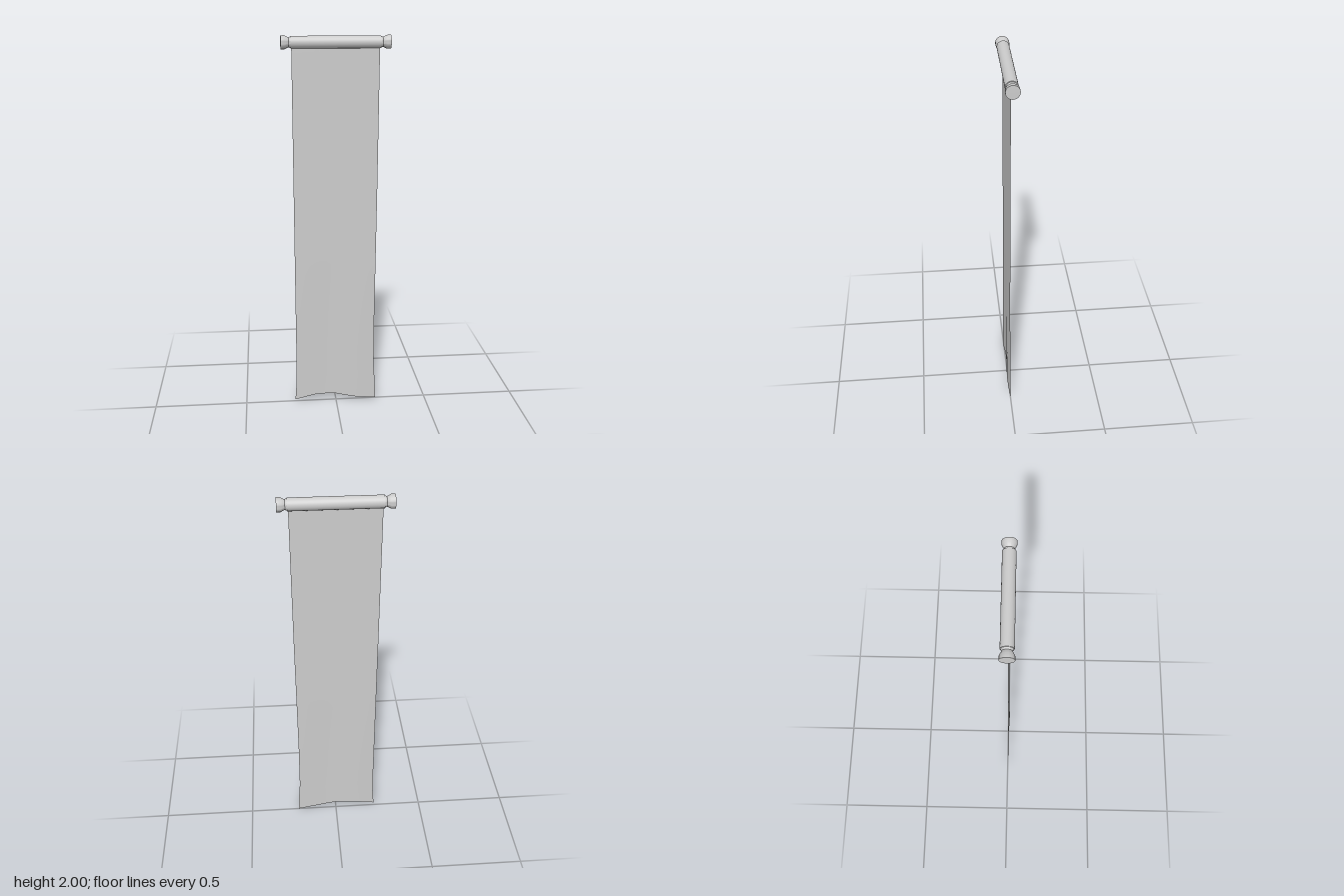
import * as THREE from 'three';
import { toCreasedNormals } from 'three/addons/utils/BufferGeometryUtils.js';

const ROD_Y = 1.966;
const material = new THREE.MeshStandardMaterial({ color: 0xcccccc });
const clothMaterial = new THREE.MeshStandardMaterial({ color: 0xcccccc, side: THREE.DoubleSide });

// Piecewise-linear lookup in a list of [t, value] pairs
function sample(points, t) {
  for (let i = 1; i < points.length; i++) {
    const [t0, v0] = points[i - 1], [t1, v1] = points[i];
    if (t <= t1) return THREE.MathUtils.lerp(v0, v1, Math.max(0, (t - t0) / (t1 - t0)));
  }
  return points[points.length - 1][1];
}

// Hanging cloth: wavy lower hem, slightly pinched sides that flare at the bottom
function createCloth() {
  const hem = [[-1, 0.012], [-0.5, 0.035], [-0.2, 0.039], [0, 0.038], [0.25, 0.026], [0.5, 0.014], [1, 0]];
  const leftEdge = [[0, 0.224], [0.06, 0.218], [0.1, 0.212], [0.25, 0.211], [0.6, 0.217], [1, 0.221]];
  const rightEdge = [[0, -0.228], [0.05, -0.221], [0.1, -0.219], [1, -0.222]];
  const geometry = new THREE.PlaneGeometry(2, 1, 16, 40);
  const pos = geometry.attributes.position;
  for (let i = 0; i < pos.count; i++) {
    const u = pos.getX(i), v = pos.getY(i) + 0.5;
    const x = THREE.MathUtils.lerp(sample(rightEdge, v), sample(leftEdge, v), (u + 1) / 2);
    const y = THREE.MathUtils.lerp(sample(hem, u), ROD_Y, v);
    const z = 0.003 + 0.004 * Math.sin(u * 4) * Math.max(0, 1 - v * 2.5);
    pos.setXYZ(i, x, y, z);
  }
  geometry.computeVertexNormals();
  const cloth = new THREE.Mesh(geometry, clothMaterial);
  cloth.name = 'cloth';
  return cloth;
}

// Flared end knob turned around the rod axis; side is +1 (left) or -1 (right)
function createKnob(side) {
  const profile = [[0, 0.22], [0.027, 0.22], [0.027, 0.229], [0.024, 0.235], [0.027, 0.243],
    [0.033, 0.253], [0.034, 0.257], [0.034, 0.275], [0, 0.275]].map(([r, h]) => new THREE.Vector2(r, h));
  const geometry = toCreasedNormals(new THREE.LatheGeometry(profile, 32), Math.PI / 4);
  geometry.rotateZ(-side * Math.PI / 2);
  const knob = new THREE.Mesh(geometry, material);
  knob.name = side > 0 ? 'leftKnob' : 'rightKnob';
  knob.position.set(0, ROD_Y, -0.001);
  return knob;
}

export function createModel() {
  const banner = new THREE.Group();
  banner.name = 'banner';

  // Horizontal rod
  const rod = new THREE.Mesh(new THREE.CylinderGeometry(0.031, 0.031, 0.45, 32).rotateZ(Math.PI / 2), material);
  rod.name = 'rod';
  rod.position.set(0, ROD_Y, -0.001);

  banner.add(rod, createKnob(1), createKnob(-1), createCloth());
  return banner;
}
